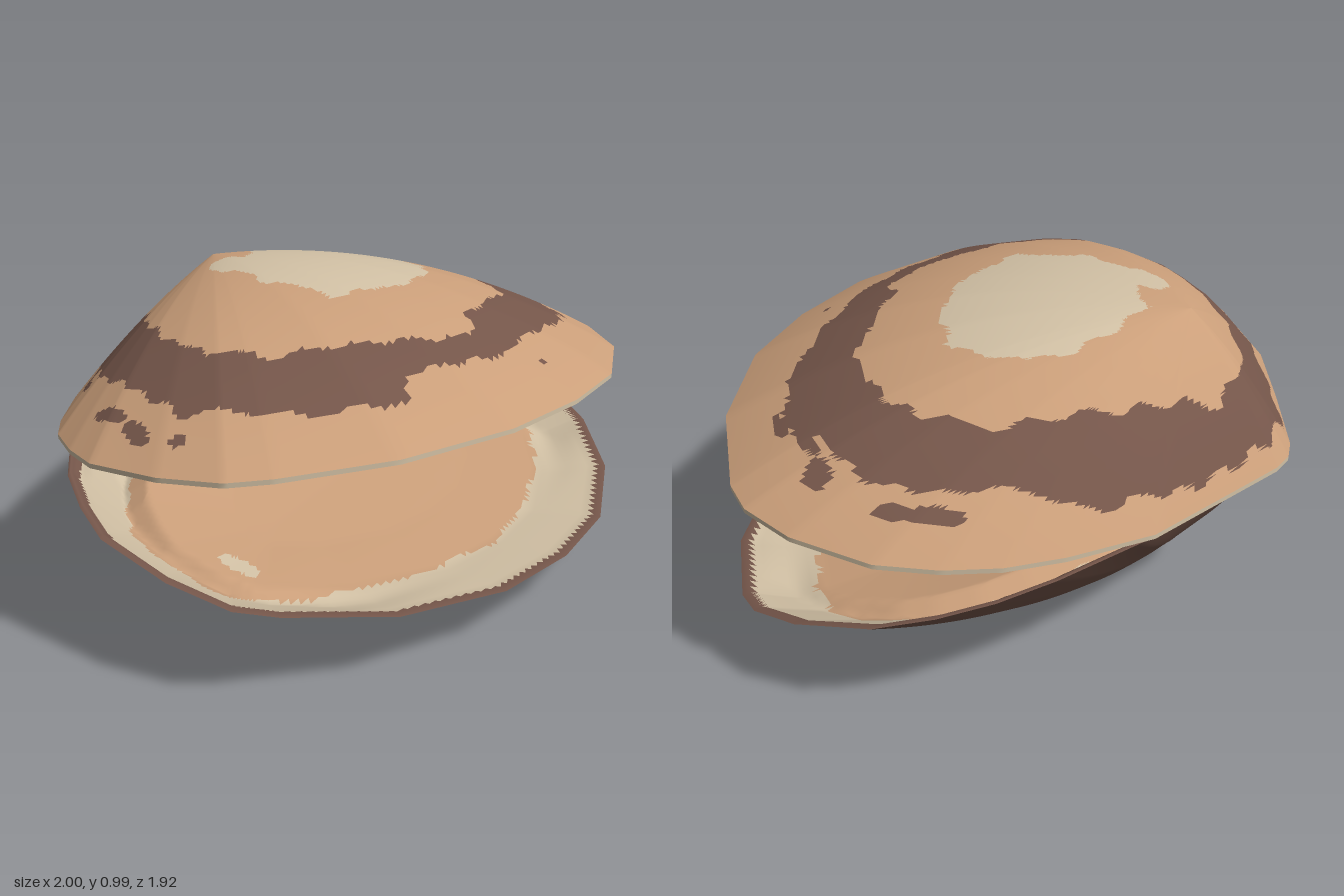
import * as THREE from 'three';

const tan = new THREE.MeshStandardMaterial({ color: 0xcb9f7a });
tan.name = 'tan';
const cream = new THREE.MeshStandardMaterial({ color: 0xd2c1a5 });
cream.name = 'cream';
const brown = new THREE.MeshStandardMaterial({ color: 0x75564a });
brown.name = 'brown';
const PALETTE = [tan, cream, brown];
const TAN = 0, CREAM = 1, BROWN = 2;
const { lerp, clamp, smoothstep } = THREE.MathUtils;

// Shell outline seen from above (x, z), starting at the back
const OUTLINE = [
  [-0.04, -0.95], [0.24, -0.96], [0.42, -0.945], [0.58, -0.9], [0.74, -0.82], [0.91, -0.64], [0.99, -0.48],
  [1, -0.36], [0.93, 0], [0.75, 0.35], [0.52, 0.59], [0.24, 0.79], [-0.13, 0.93], [-0.47, 0.95], [-0.6, 0.93],
  [-0.76, 0.81], [-0.92, 0.61], [-0.97, 0.45], [-1, 0.27], [-0.99, 0.12], [-0.94, -0.16], [-0.82, -0.42],
  [-0.69, -0.68], [-0.64, -0.74], [-0.57, -0.78],
];

// Edges of the painted growth band
const BAND_IN = [
  [-0.05, -0.71], [0.3, -0.67], [0.49, -0.53], [0.55, -0.4], [0.55, -0.13], [0.43, 0.04], [0.3, 0.21], [0.27, 0.34],
  [0.14, 0.43], [-0.18, 0.48], [-0.4, 0.5], [-0.56, 0.4], [-0.66, 0.19], [-0.7, -0.05], [-0.67, -0.32],
  [-0.58, -0.56], [-0.4, -0.69],
];
const BAND_OUT = [
  [-0.4, -0.8], [-0.18, -0.87], [0.14, -0.89], [0.3, -0.82], [0.57, -0.73], [0.7, -0.59], [0.75, -0.4], [0.8, -0.21],
  [0.7, 0.03], [0.51, 0.24], [0.35, 0.43], [0.17, 0.53], [-0.02, 0.61], [-0.05, 0.73], [-0.34, 0.76], [-0.53, 0.7],
  [-0.66, 0.64], [-0.77, 0.4], [-0.85, 0.16], [-0.87, -0.1], [-0.8, -0.37], [-0.72, -0.59], [-0.58, -0.73],
];
const PATCH = [
  [-0.16, -0.49], [0, -0.53], [0.15, -0.51], [0.26, -0.4], [0.31, -0.31], [0.28, -0.16], [0.2, -0.02], [0.06, 0.1],
  [-0.06, 0.13], [-0.1, 0.19], [-0.16, 0.19], [-0.18, 0.12], [-0.32, 0.05], [-0.38, -0.13], [-0.45, -0.16],
  [-0.46, -0.3], [-0.38, -0.33], [-0.33, -0.29], [-0.29, -0.42],
];
// Stray flecks: x, z, half length, half width, angle
const FLECKS = [
  [0.55, -0.79, 0.09, 0.02, 0.45], [0.65, -0.73, 0.06, 0.02, 0.5], [0.79, -0.52, 0.05, 0.04, 1.6],
  [0.78, -0.36, 0.11, 0.02, 1.5], [0.82, -0.25, 0.07, 0.015, 1.7], [-0.89, -0.05, 0.03, 0.018, 1.6],
  [-0.9, 0.03, 0.05, 0.016, 1.6], [-0.85, 0.44, 0.08, 0.022, 1.1], [-0.79, 0.6, 0.07, 0.025, 1.3],
  [-0.69, 0.72, 0.025, 0.02, 1], [0.48, 0.42, 0.02, 0.012, 0],
];

function inside(poly, x, z) {
  let hit = false;
  poly.forEach(([ax, az], i) => {
    const [bx, bz] = poly[(i + 1) % poly.length];
    if ((az > z) !== (bz > z) && x < ax + ((bx - ax) * (z - az)) / (bz - az)) hit = !hit;
  });
  return hit;
}

function distanceToEdge(poly, x, z) {
  return Math.min(...poly.map(([ax, az], i) => {
    const [bx, bz] = poly[(i + 1) % poly.length];
    const dx = bx - ax, dz = bz - az;
    const t = clamp(((x - ax) * dx + (z - az) * dz) / (dx * dx + dz * dz), 0, 1);
    return Math.hypot(x - ax - t * dx, z - az - t * dz);
  }));
}

const inFleck = ([fx, fz, a, b, r], x, z) => {
  const u = (x - fx) * Math.cos(r) + (z - fz) * Math.sin(r);
  const v = (z - fz) * Math.cos(r) - (x - fx) * Math.sin(r);
  return (u / a) ** 2 + (v / b) ** 2 < 1;
};

// Piecewise linear profile lookup
function profile(points, t) {
  const i = Math.max(1, points.findIndex((p) => p[0] >= t));
  const [a, b] = [points[i - 1], points[i]];
  return lerp(a[1], b[1], (t - a[0]) / (b[0] - a[0]));
}

// Distance along the axis from the hinge to the gape
const along = (x, z) => (x + z) / Math.SQRT2;

const SUB = 10;
const refine = (poly) => poly.flatMap(([ax, az], i) => {
  const [bx, bz] = poly[(i + 1) % poly.length];
  return Array.from({ length: SUB }, (_, k) => [lerp(ax, bx, k / SUB), lerp(az, bz, k / SUB)]);
});

// Closed ring grid, each triangle coloured by its place
function ringSurface(name, rows, count, point, up, colour) {
  const pos = [], faces = [[], [], []];
  for (let k = 0; k <= rows; k++) for (let i = 0; i < count; i++) pos.push(...point(k / rows, i));
  const mid = (tri, c) => (pos[tri[0] * 3 + c] + pos[tri[1] * 3 + c] + pos[tri[2] * 3 + c]) / 3;
  const add = (a, b, c) => {
    const tri = up ? [a, c, b] : [a, b, c];
    faces[colour(mid(tri, 0), mid(tri, 2))].push(...tri);
  };
  for (let k = 0; k < rows; k++) for (let i = 0; i < count; i++) {
    const j = (i + 1) % count, a = k * count, b = a + count;
    add(a + i, b + i, b + j);
    if (k > 0 || rows === 1) add(a + i, b + j, a + j);
  }
  const geo = new THREE.BufferGeometry();
  geo.setAttribute('position', new THREE.Float32BufferAttribute(pos, 3));
  geo.setIndex(faces.flat());
  let start = 0;
  faces.forEach((f, m) => {
    if (f.length) geo.addGroup(start, f.length, m);
    start += f.length;
  });
  geo.computeVertexNormals();
  const mesh = new THREE.Mesh(geo, PALETTE);
  mesh.name = name;
  return mesh;
}

// Valve growing from its beak to a tilted rim, bulging away from the hinge
function valve(outline, beak, rimY, swell) {
  const rim = refine(outline);
  const point = (s, i) => {
    const [rx, rz] = rim[i];
    const dx = rx - beak[0], dz = rz - beak[2];
    const bulge = 0.12 + swell * smoothstep(along(dx, dz) / Math.hypot(dx, dz), -0.1, 1.1);
    const y = lerp(beak[1], rimY(rx, rz), s) + Math.sign(beak[1] - 0.5) * bulge * s * (1 - s);
    return [beak[0] + dx * s, y, beak[2] + dz * s];
  };
  return { rim, point };
}

function paintUpper(x, z) {
  const wx = x + 0.01 * Math.sin(z * 41 + x * 17), wz = z + 0.01 * Math.sin(x * 37 - z * 13);
  if (inside(PATCH, wx, wz)) return CREAM;
  if (inside(BAND_OUT, wx, wz) && !inside(BAND_IN, wx, wz)) return BROWN;
  return FLECKS.some((f) => inFleck(f, x, z)) ? BROWN : TAN;
}

export function createModel() {
  const model = new THREE.Group();
  model.name = 'openClam';

  // Upper valve: painted outside, thin pale lip, dark lining
  const upper = new THREE.Group();
  upper.name = 'upperValve';
  const top = valve(OUTLINE, [-0.42, 0.955, -0.47], (x, z) => 0.614 + 0.036 * x + 0.09 * z, 0.4);
  const n = top.rim.length;
  const lining = (s, i) => {
    const [x, y, z] = top.point(s, i);
    return [x, y - 0.014 - 0.02 * (1 - s ** 8), z];
  };
  upper.add(
    ringSurface('upperShell', 72, n, top.point, true, paintUpper),
    ringSurface('upperLining', 24, n, lining, false, () => BROWN),
    ringSurface('upperLip', 1, n, (t, i) => (t ? lining(1, i) : top.point(1, i)), true, () => CREAM),
  );

  // Lower valve: dark outside, pale bowl with a dark rim and tan floor
  const lower = new THREE.Group();
  lower.name = 'lowerValve';
  const edge = OUTLINE.map(([x, z]) => {
    const shift = (0.014 - 0.02 * along(x, z)) / Math.SQRT2;
    return [x + shift, z + shift];
  });
  const rimY = (x, z) => 0.355 - 0.165 * x - 0.15 * z - 0.03 * Math.max(0, along(x, z)) ** 2;
  const bowl = valve(edge, [-0.45, 0.15, -0.48], rimY, 0.52);
  const hingeDepth = [[0, 0], [0.035, 0.012], [0.1, 0.11], [0.15, 0.135], [0.23, 0.075], [0.5, 0.1], [1.2, 0.12]];
  const gapeDepth = [[0, 0], [0.035, 0.01], [0.25, 0.08], [0.5, 0.1], [1.2, 0.12]];
  const gape = (x, z) => smoothstep(along(x, z), 0, 0.6);
  const inner = (s, i) => {
    const [x, y, z] = bowl.point(s, i);
    if (s === 1) return [x, y, z];
    const d = distanceToEdge(edge, x, z);
    const drop = lerp(profile(hingeDepth, d), profile(gapeDepth, d), gape(x, z));
    return [x, Math.max(rimY(x, z) - drop, y + 0.015), z];
  };
  const paintInner = (x, z) => {
    const d = distanceToEdge(edge, x, z);
    if (d < 0.035) return BROWN;
    if (inFleck([-0.52, 0.6, 0.07, 0.035, 0.8], x, z)) return CREAM;
    const wave = 0.014 * Math.sin(x * 23 + z * 9) + 0.008 * Math.sin(z * 41);
    return d > 0.16 + 0.1 * gape(x, z) + wave ? TAN : CREAM;
  };
  lower.add(
    ringSurface('lowerShell', 40, n, bowl.point, false, () => BROWN),
    ringSurface('lowerInside', 64, n, inner, true, paintInner),
  );

  model.add(upper, lower);
  return model;
}
